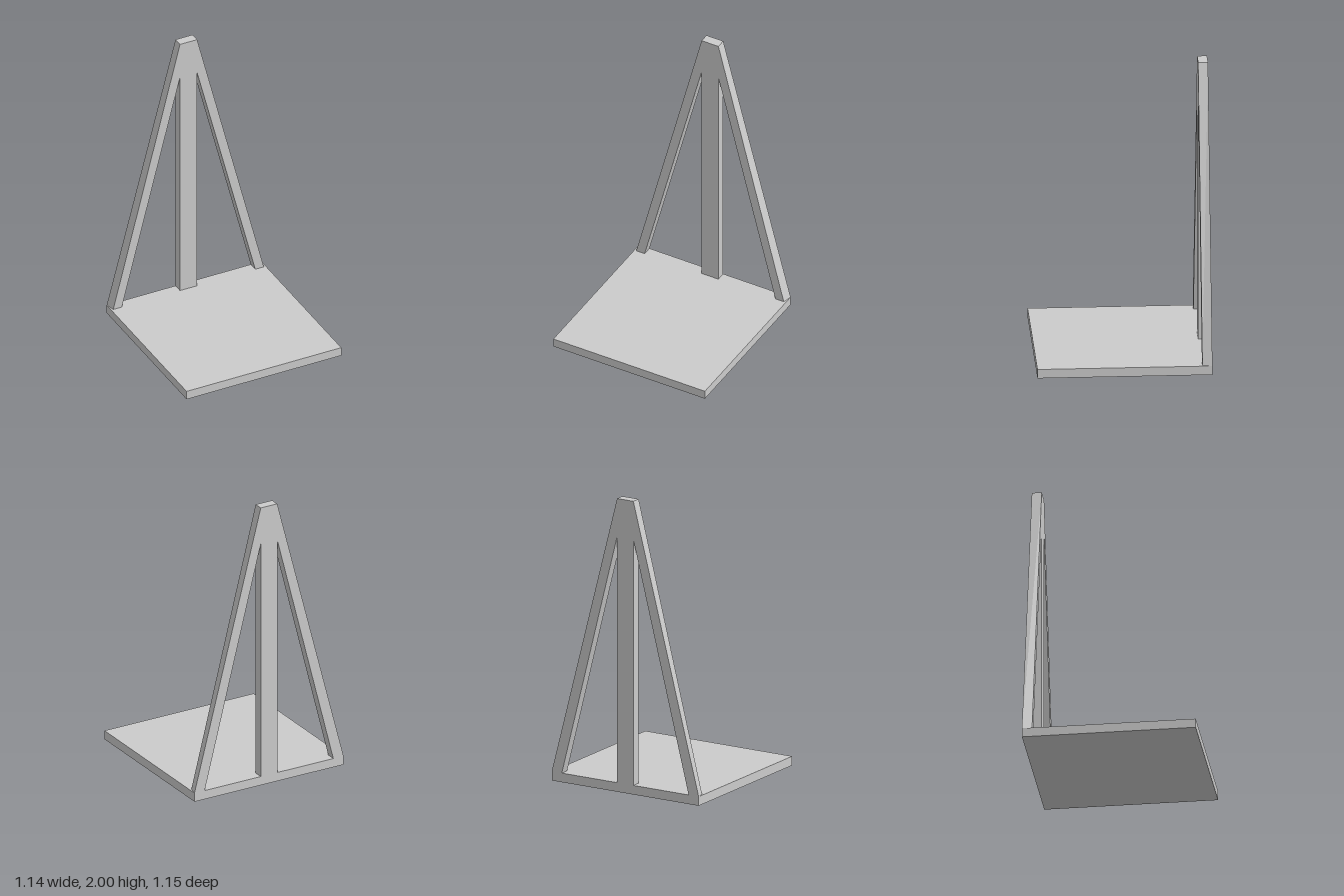
import * as THREE from 'three';

const HALF_W = 0.57, HALF_D = 0.575, BASE_H = 0.062;
const POST_HALF = 0.063, DEPTH = 0.065, HEIGHT = 2;
const FRONT_FOOT = 0.555; // outer foot of a brace on its front face

const material = new THREE.MeshStandardMaterial({ color: 0xcccccc, flatShading: true });

function box(name, w, h, d, x, y, z) {
  const mesh = new THREE.Mesh(new THREE.BoxGeometry(w, h, d), material);
  mesh.name = name;
  mesh.position.set(x, y, z);
  return mesh;
}

// Slanted brace from the base corner to the post top; side is +1 (left) or -1 (right)
function brace(name, side) {
  const shape = new THREE.Shape([
    [HALF_W, BASE_H], [POST_HALF, HEIGHT], [POST_HALF, 1.74], [0.492, BASE_H],
  ].map(([x, y]) => new THREE.Vector2(side * x, y)));
  const geometry = new THREE.ExtrudeGeometry(shape, { depth: DEPTH, bevelEnabled: false });

  // Pull the front outer foot inward so the outer face tapers
  const p = geometry.attributes.position;
  for (let i = 0; i < p.count; i++) {
    if (p.getZ(i) > DEPTH / 2 && Math.abs(p.getX(i)) > 0.56) p.setX(i, side * FRONT_FOOT);
  }
  geometry.computeVertexNormals();

  const mesh = new THREE.Mesh(geometry, material);
  mesh.name = name;
  mesh.position.z = -HALF_D;
  return mesh;
}

export function createModel() {
  const model = new THREE.Group();
  model.name = 'bracedStand';
  // Flat base plate
  model.add(box('basePlate', HALF_W * 2, BASE_H, HALF_D * 2, 0, BASE_H / 2, 0));
  // Upright post at the back edge
  model.add(box('backPost', POST_HALF * 2, HEIGHT - BASE_H, DEPTH,
    0, (HEIGHT + BASE_H) / 2, -HALF_D + DEPTH / 2));
  // Mirrored braces
  model.add(brace('leftBrace', 1), brace('rightBrace', -1));
  return model;
}
